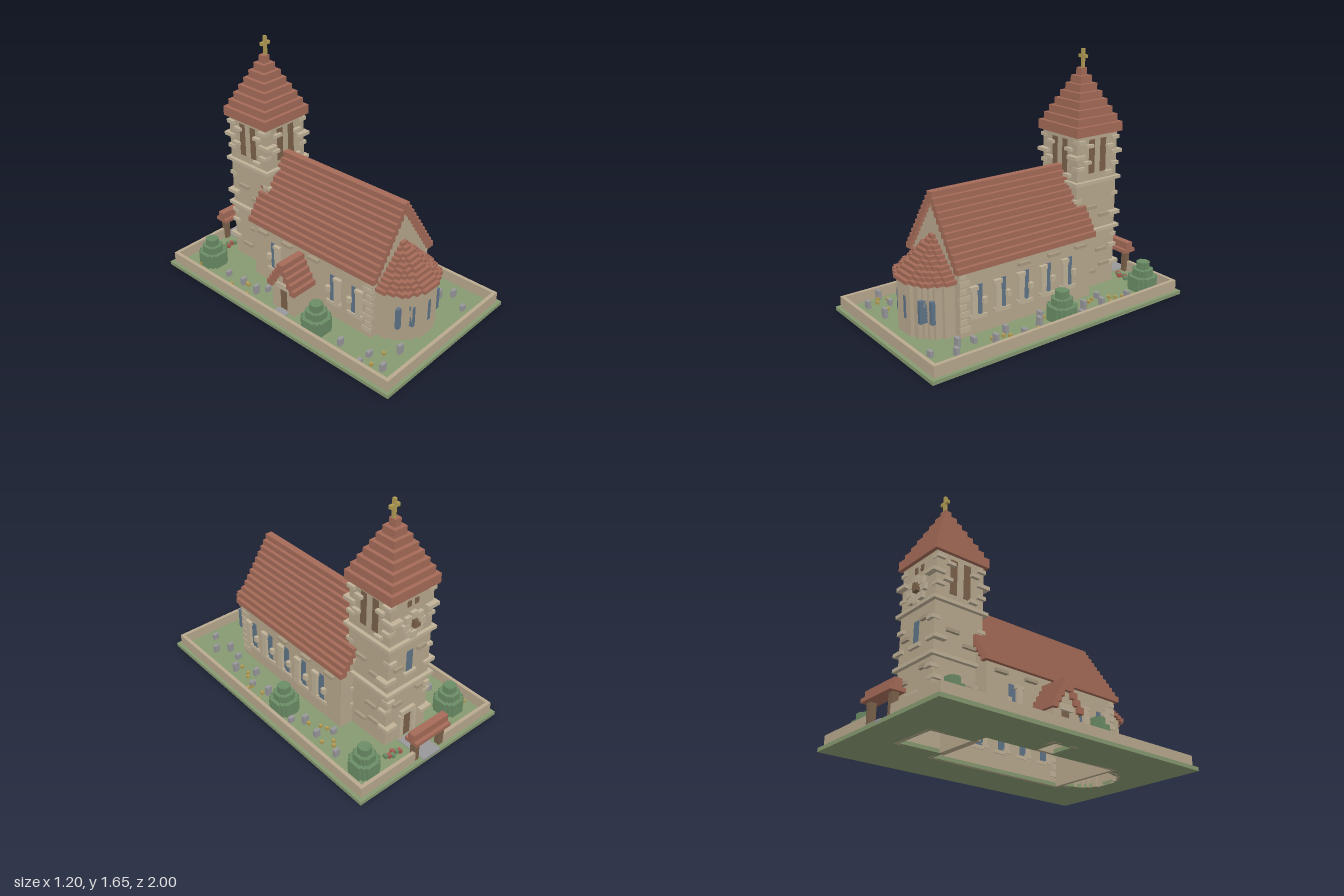
import * as THREE from 'three';

const U = 0.025; // block size
const mat = (color) => new THREE.MeshStandardMaterial({ color, flatShading: true, side: THREE.DoubleSide });
const stone = mat(0xb8a98e), paleStone = mat(0xc0b298), darkStone = mat(0xa89a80), roofRed = mat(0xa56b58),
  grass = mat(0x879a70), leaf = mat(0x6b8d66), glass = mat(0x5f7488), wood = mat(0x7b614a),
  gold = mat(0xb29c54), grey = mat(0x98979a), flowerRed = mat(0xa85a50);

export function createModel() {
  const model = new THREE.Group();
  let seed = 7;
  const rand = () => (seed = (seed * 16807) % 2147483647) / 2147483647;

  const group = (name, parent = model) => {
    const g = new THREE.Group();
    g.name = name;
    parent.add(g);
    return g;
  };
  // Box given by its limits on each axis
  const box = (parent, name, m, x0, x1, y0, y1, z0, z1) => {
    const mesh = new THREE.Mesh(new THREE.BoxGeometry(x1 - x0, y1 - y0, z1 - z0), m);
    mesh.position.set((x0 + x1) / 2, (y0 + y1) / 2, (z0 + z1) / 2);
    mesh.name = name;
    parent.add(mesh);
    return mesh;
  };
  // Upright prism from an (x, z) outline, with an optional hole
  const toPath = (pts, P) => new P(pts.map(([x, z]) => new THREE.Vector2(x, -z)));
  const prism = (parent, name, m, outline, hole, y0, y1) => {
    const shape = toPath(outline, THREE.Shape);
    if (hole) shape.holes.push(toPath(hole, THREE.Path));
    const geo = new THREE.ExtrudeGeometry(shape, { depth: y1 - y0, bevelEnabled: false });
    geo.rotateX(-Math.PI / 2).translate(0, y0, 0);
    const mesh = new THREE.Mesh(geo, m);
    mesh.name = name;
    parent.add(mesh);
  };
  const rect = (x0, x1, z0, z1) => [[x0, z0], [x1, z0], [x1, z1], [x0, z1]];
  // Stepped half round bulging towards +z from the line z = zBase
  const halfRound = (r, zBase) => {
    const n = Math.round(r / U), pts = [[-n * U, zBase]];
    for (let i = -n; i < n; i++) {
      const mid = (i + 0.5) * U;
      const z = zBase + Math.max(1, Math.round(Math.sqrt(r * r - mid * mid) / U)) * U;
      pts.push([i * U, z], [(i + 1) * U, z]);
    }
    pts.push([n * U, zBase]);
    return pts.filter((p, i) => !i || p[0] !== pts[i - 1][0] || p[1] !== pts[i - 1][1]);
  };
  // Triangular end wall, thickness along z
  const gable = (parent, name, half, y0, y1, z0, depth) => {
    const s = new THREE.Shape([new THREE.Vector2(-half, y0), new THREE.Vector2(half, y0), new THREE.Vector2(0, y1)]);
    const mesh = new THREE.Mesh(new THREE.ExtrudeGeometry(s, { depth, bevelEnabled: false }), stone);
    mesh.position.z = z0;
    mesh.name = name;
    parent.add(mesh);
    return mesh;
  };

  // Lawn, open below the building
  const yard = group('churchyard');
  prism(yard, 'lawn', grass, rect(-0.6, 0.6, -1, 1), [
    [-0.15, -0.73], [0.15, -0.73], [0.15, -0.43], [0.25, -0.43], [0.25, 0.6], [0.2, 0.6], [0.17, 0.72],
    [0.08, 0.8], [-0.08, 0.8], [-0.17, 0.72], [-0.2, 0.6], [-0.25, 0.6], [-0.25, 0.06], [-0.42, 0.06],
    [-0.42, -0.06], [-0.25, -0.06], [-0.25, -0.43], [-0.15, -0.43]], 0, U);
  box(yard, 'path', grey, -0.075, 0.075, 0.015, 0.03, -1, -0.77);
  box(yard, 'porchPath', grey, -0.5, -0.44, 0.015, 0.03, -0.05, 0.05);

  // Boundary wall with a gap for the gate
  for (const s of [-1, 1]) {
    box(yard, 'sideWall', stone, s * 0.5625 - U / 2, s * 0.5625 + U / 2, U, 0.1, -0.975, 0.975);
    box(yard, 'backWall', stone, s * 0.3375 - 0.2125, s * 0.3375 + 0.2125, U, 0.1, -0.975, -0.95);
  }
  box(yard, 'frontWall', stone, -0.55, 0.55, U, 0.1, 0.95, 0.975);

  // Roofed gate
  const gate = group('gate');
  for (const s of [-1, 1]) box(gate, 'gatePost', wood, s * 0.11 - 0.02, s * 0.11 + 0.02, U, 0.18, -0.97, -0.93);
  box(gate, 'gateRoofLower', roofRed, -0.15, 0.15, 0.175, 0.2, -1, -0.9);
  box(gate, 'gateRoofUpper', roofRed, -0.15, 0.15, 0.2, 0.25, -0.975, -0.925);

  // Nave: hollow walls, gables and stepped roof courses
  const nave = group('nave');
  prism(nave, 'naveWall', stone, rect(-0.275, 0.275, -0.45, 0.6), rect(-0.25, 0.25, -0.425, 0.575), 0, 0.46);
  gable(nave, 'frontGable', 0.275, 0.45, 0.8625, 0.575, U);
  gable(nave, 'backGable', 0.275, 0.45, 0.8625, -0.45, U);
  const rise = 0.0375;
  for (let i = 0; i < 12; i++) {
    const outer = 0.3 - i * U, inner = Math.max(0, outer - 0.05), y = 0.45 + i * rise;
    for (const s of [-1, 1])
      box(nave, 'roofCourse', roofRed, Math.min(s * outer, s * inner), Math.max(s * outer, s * inner), y, y + rise, -0.475, 0.625);
  }

  // Nave windows with heavy stone jambs, corner blocks and loose projecting stones
  for (const s of [-1, 1]) {
    const side = (name, m, z, w, y0, y1, out) =>
      box(nave, name, m, s * 0.275 - (s < 0 ? out : 0.03), s * 0.275 + (s < 0 ? 0.03 : out), y0, y1, z - w / 2, z + w / 2);
    for (const z of [0.46, 0.28, 0.1, -0.08, -0.26]) {
      if (s < 0 && Math.abs(z) < 0.15) continue;
      side('naveWindow', glass, z, 0.05, 0.15, 0.35, 0.003);
      side('windowJamb', paleStone, z + 0.045, 0.04, 0.14, 0.35, U);
      side('jambCap', paleStone, z + 0.045, 0.06, 0.325, 0.35, U);
      side('jambFoot', paleStone, z + 0.045, 0.06, 0.14, 0.165, U);
      side('jambStone', paleStone, z - 0.035, 0.03, 0.22, 0.26, U);
      side('sill', paleStone, z - 0.01, 0.09, 0.125, 0.15, 0.012);
    }
    for (const z of [0.12, -0.12, -0.35]) side('wallStone', darkStone, z, 0.09, 0.395, 0.415, U);
    for (let y = 0.06, k = 0; y < 0.42; y += 0.05, k++) {
      side('cornerStone', paleStone, k % 2 ? 0.575 : 0.5625, k % 2 ? 0.05 : 0.075, y, y + 0.035, 0.005);
    }
  }

  // Rounded apse with a stepped half-cone roof
  const apse = group('apse');
  prism(apse, 'apseWall', stone, halfRound(0.225, 0.6), halfRound(0.2, 0.6), 0, 0.38);
  for (let i = 0; i < 10; i++) {
    const r = 0.25 - i * U, y = 0.375 + i * U;
    prism(apse, 'apseRoofCourse', roofRed, halfRound(r, 0.6), r > 0.08 ? halfRound(r - 0.05, 0.6) : null, y, y + U);
  }
  for (const x of [-0.1125, 0.0125, 0.1375])
    box(apse, 'apseWindow', glass, x - U / 2, x + U / 2, 0.13, 0.28, 0.74, x === 0.0125 ? 0.828 : 0.803);
  for (const s of [-1, 1]) box(apse, 'apseSideWindow', glass, s * 0.19 - 0.015, s * 0.19 + 0.015, 0.13, 0.28, 0.74 - U / 2, 0.74 + U / 2);

  // Tower, built around its own axis
  const tower = group('tower');
  tower.position.z = -0.58;
  prism(tower, 'towerWall', stone, rect(-0.175, 0.175, -0.175, 0.175), rect(-0.15, 0.15, -0.15, 0.15), 0, 1.13);
  for (const y of [0.43, 0.78])
    prism(tower, 'stringCourse', paleStone, rect(-0.2, 0.2, -0.2, 0.2), rect(-0.16, 0.16, -0.16, 0.16), y, y + 0.022);
  prism(tower, 'towerEaves', roofRed, rect(-0.2, 0.2, -0.2, 0.2), rect(-0.15, 0.15, -0.15, 0.15), 1.11, 1.175);
  for (let i = 1; i < 8; i++) {
    const r = 0.2 - i * U, y = 1.175 + (i - 1) * 0.0507;
    prism(tower, 'towerRoofCourse', roofRed, rect(-r, r, -r, r), r > 0.06 ? rect(0.05 - r, r - 0.05, 0.05 - r, r - 0.05) : null, y, y + 0.0507);
  }
  // Paired belfry openings on three faces, each face turned from the front one
  for (const turn of [0, 1, -1]) {
    const face = group('belfryFace', tower);
    face.rotation.y = turn * Math.PI / 2;
    for (const x of [-0.05, 0.05]) box(face, 'belfryOpening', wood, x - 0.025, x + 0.025, 0.85, 1.08, 0.15, 0.178);
    for (const [x, y] of [[-0.08, 1.03], [0.1, 1.01], [-0.1, 0.92], [0.09, 0.83]])
      box(face, 'belfryStone', paleStone, x - 0.03, x + 0.03, y, y + 0.022, 0.15, 0.2);
    if (turn) for (const [x, y] of [[-0.05, 0.6], [0.07, 0.53], [0.05, 0.28], [-0.04, 0.13], [0.08, 0.17]])
      box(face, 'towerStone', darkStone, x - 0.045, x + 0.045, y, y + 0.022, 0.15, 0.195);
  }
  // Alternating corner stones
  for (const sx of [-1, 1]) for (const sz of [-1, 1])
    [0.16, 0.29, 0.36, 0.53, 0.66, 0.88, 0.96, 1.06].forEach((y, k) => {
      const cx = sx * (k % 2 ? 0.165 : 0.15), cz = sz * (k % 2 ? 0.15 : 0.165), out = k % 3 ? 0.03 : 0.045;
      box(tower, 'cornerStone', paleStone, cx - out, cx + out, y, y + 0.025, cz - out, cz + out);
    });

  // Entrance face: door, tall window, clock and two small louvres
  const entrance = group('entranceFace', tower);
  entrance.rotation.y = Math.PI;
  box(entrance, 'door', wood, -0.04, 0.04, U, 0.22, 0.15, 0.179);
  for (const s of [-1, 1]) {
    box(entrance, 'doorJamb', paleStone, s * 0.055 - 0.015, s * 0.055 + 0.015, U, 0.22, 0.15, 0.2);
    box(entrance, 'louvre', wood, s * 0.03 - 0.015, s * 0.03 + 0.015, 1.03, 1.07, 0.15, 0.18);
  }
  box(entrance, 'doorLintel', paleStone, -0.06, 0.06, 0.22, 0.25, 0.15, 0.2);
  box(entrance, 'towerWindow', glass, -0.025, 0.025, 0.55, 0.7, 0.15, 0.179);
  box(entrance, 'windowSill', paleStone, -0.05, 0.05, 0.525, 0.55, 0.15, 0.195);
  for (const [x, y] of [[-0.1, 0.6], [0.1, 0.37], [-0.09, 0.32], [0.09, 0.68]])
    box(entrance, 'towerStone', darkStone, x - 0.035, x + 0.035, y, y + 0.022, 0.15, 0.195);
  box(entrance, 'clockFace', paleStone, -0.05, 0.05, 0.84, 0.96, 0.15, 0.185);
  for (let i = 0; i < 8; i++) {
    const a = i * Math.PI / 4, x = Math.cos(a) * 0.07, y = 0.9 + Math.sin(a) * 0.07;
    box(entrance, 'clockRim', paleStone, x - 0.023, x + 0.023, y - 0.023, y + 0.023, 0.15, 0.2);
  }
  box(entrance, 'minuteHand', wood, -0.0125, 0.0125, 0.89, 0.945, 0.18, 0.215);
  box(entrance, 'hourHand', wood, -0.0125, 0.035, 0.885, 0.91, 0.18, 0.215);
  // Spire cross
  box(tower, 'crossPost', gold, 0.0025, 0.0225, 1.52, 1.655, -0.01, 0.01);
  box(tower, 'crossArm', gold, -0.025, 0.05, 1.595, 1.617, -0.01, 0.01);

  // Side porch with a gable facing -x
  const porch = group('porch');
  for (const s of [-1, 1]) {
    box(porch, 'porchWall', stone, -0.45, -0.27, 0, 0.24, s * 0.0875 - 0.0125, s * 0.0875 + 0.0125);
    box(porch, 'porchFront', stone, -0.45, -0.43, 0, 0.24, s * 0.0625 - 0.0275, s * 0.0625 + 0.0275);
  }
  box(porch, 'porchDoor', wood, -0.44, -0.43, U, 0.2, -0.04, 0.04);
  box(porch, 'porchLintel', paleStone, -0.46, -0.43, 0.2, 0.24, -0.05, 0.05);
  const porchGable = gable(porch, 'porchGable', 0.1, 0.22, 0.39, 0, U);
  porchGable.rotation.y = -Math.PI / 2;
  porchGable.position.set(-0.425, 0, 0);
  for (let i = 0; i < 5; i++) for (const s of [-1, 1]) {
    const mid = s * Math.max(0.0125, 0.1 - i * U), w = i < 4 ? 0.0225 : 0.0125;
    box(porch, 'porchRoofCourse', roofRed, -0.475, -0.27, 0.2 + i * 0.04, 0.24 + i * 0.04, mid - w, mid + w);
  }

  // Tiered bushes, each tier a rounded cross
  for (const [x, z] of [[-0.39, -0.77], [0.41, -0.82], [0.435, -0.07], [-0.435, 0.28]]) {
    const bush = group('bush');
    bush.position.set(x, 0, z);
    for (const [r, y0, y1] of [[0.0875, U, 0.125], [0.0625, 0.125, 0.175], [0.04, 0.175, 0.225]]) {
      box(bush, 'bushTier', leaf, -r, r, y0, y1, -r * 0.55, r * 0.55);
      box(bush, 'bushTier', leaf, -r * 0.55, r * 0.55, y0, y1 - 0.001, -r, r);
      box(bush, 'bushTier', leaf, -r * 0.8, r * 0.8, y0, y1 - 0.002, -r * 0.8, r * 0.8);
    }
  }

  // Gravestones
  const graves = [[-0.43, -0.56], [-0.43, -0.41], [-0.44, -0.27], [-0.37, -0.23], [-0.45, 0.5], [-0.53, 0.72], [-0.41, 0.7],
    [-0.45, 0.84], [-0.26, 0.82], [0.34, -0.46], [0.44, -0.41], [0.42, -0.27], [0.48, -0.2], [0.35, 0.04], [0.43, 0.11],
    [0.46, 0.25], [0.37, 0.33], [0.45, 0.46], [0.36, 0.56], [0.43, 0.73], [0.35, 0.67], [0.35, 0.86], [0.46, -0.62]];
  graves.forEach(([x, z], i) =>
    box(yard, 'gravestone', grey, x - 0.02, x + 0.02, U, 0.065 + (i % 3) * 0.0125, z - 0.0125, z + 0.0125));

  // Flower beds by the path and scattered flowers
  for (const s of [-1, 1]) for (let i = 0; i < 6; i++)
    box(yard, 'flowerBed', i % 2 ? leaf : flowerRed, s * 0.19 - 0.06 + i * 0.02, s * 0.19 - 0.04 + i * 0.02, U, 0.05, -0.87 + (i % 3) * 0.012, -0.84 + (i % 3) * 0.012);
  for (let i = 0; i < 36; i++) {
    const x = (i % 2 ? 1 : -1) * (0.34 + rand() * 0.19), z = -0.9 + rand() * 1.8;
    if (x < 0 && Math.abs(z) < 0.14) continue;
    box(yard, 'flower', gold, x - 0.01, x + 0.01, U, 0.045, z - 0.01, z + 0.01);
  }
  return model;
}
